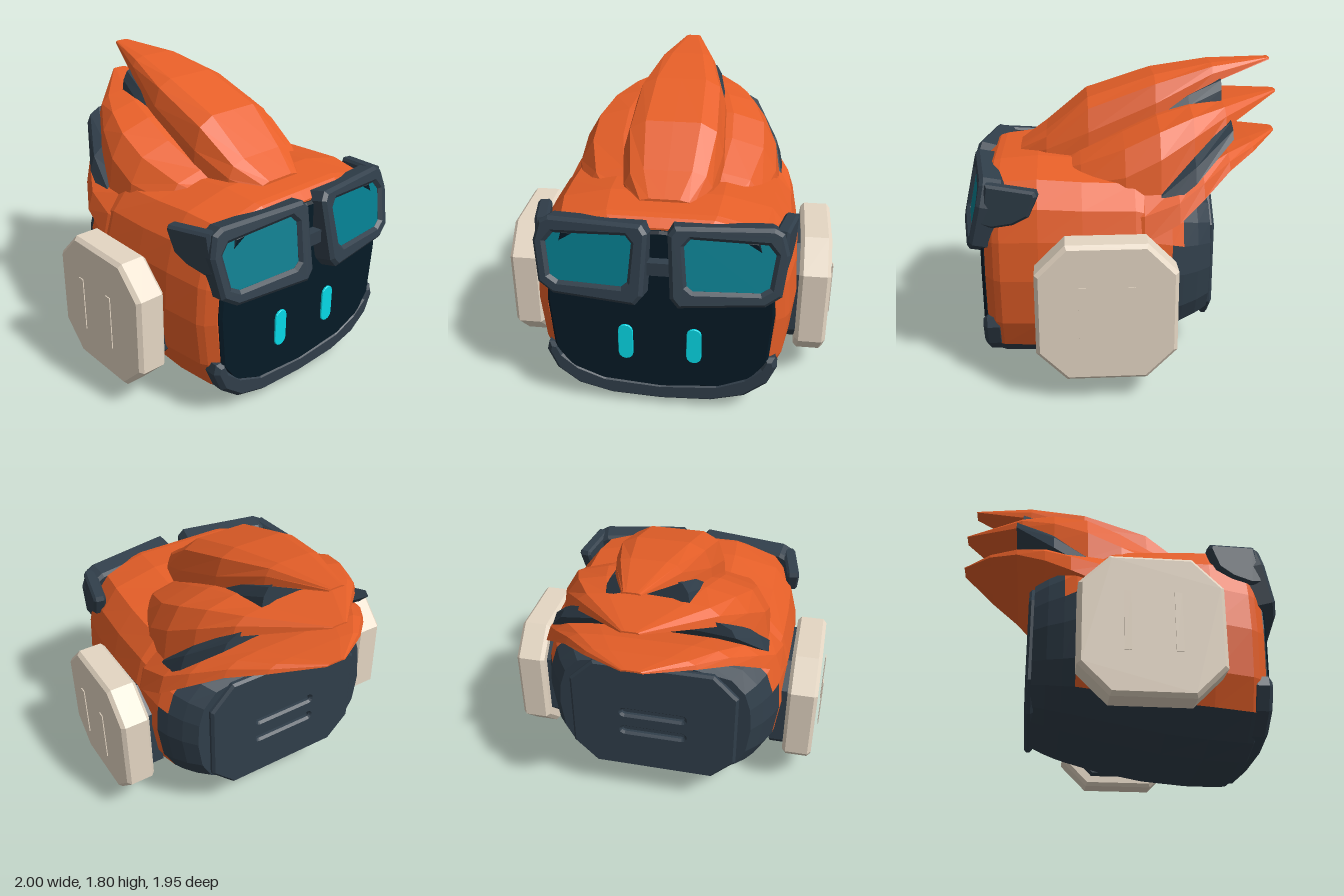
import * as THREE from 'three';

const mat = (name, color) => Object.assign(new THREE.MeshStandardMaterial({ color }), { name });

export function createModel() {
  const root = new THREE.Group();
  root.name = 'helmetHead';
  const M = {
    orange: mat('orange', 0xe65f28),
    slate: mat('slate', 0x303e4a),
    screen: mat('darkScreen', 0x051a26),
    lens: mat('tealLens', 0x047b8c),
    eye: mat('cyanEye', 0x05dcea),
    pad: mat('beigePad', 0xe4d6c3),
  };

  const add = (name, geo, material, parent = root) => {
    const m = new THREE.Mesh(geo, material);
    m.name = name;
    parent.add(m);
    return m;
  };

  // Faceted loft: sections [z, halfWidth, top, bottom] from front to back,
  // half = unit profile from bottom centre to top centre. paint picks a colour per face.
  function loft(name, sections, half, paint) {
    const mirrored = half.slice(1, -1).reverse().map(([x, y]) => [-x, y]);
    const profile = [...half, ...mirrored];
    const n = profile.length;
    const rings = sections.map(([z, w, top, bottom]) =>
      profile.map(([x, y]) => new THREE.Vector3(x * w, bottom + y * (top - bottom), z)));
    const faces = {};
    const centre = (pts) => pts.reduce((s, p) => s.add(p), new THREE.Vector3()).divideScalar(pts.length);
    const put = (...pts) => {
      const list = (faces[paint(centre(pts))] ??= []);
      for (let k = 1; k < pts.length - 1; k++) list.push(pts[0], pts[k], pts[k + 1]);
    };
    const first = rings[0], last = rings[rings.length - 1];
    for (let j = 0; j < n; j++) {
      const k = (j + 1) % n;
      for (let i = 0; i < rings.length - 1; i++)
        put(rings[i][j], rings[i + 1][j], rings[i + 1][k], rings[i][k]);
      put(centre(first), first[j], first[k]);
      put(centre(last), last[k], last[j]);
    }
    const g = new THREE.Group();
    g.name = name;
    for (const key in faces) {
      const geo = new THREE.BufferGeometry().setFromPoints(faces[key]);
      geo.computeVertexNormals();
      add(`${name} ${key}`, geo, M[key], g);
    }
    root.add(g);
  }

  // Outlines are always wound counter-clockwise so bevels go the right way
  const toShape = (pts) => {
    const v = pts.map(([x, y]) => new THREE.Vector2(x, y));
    return new THREE.Shape(THREE.ShapeUtils.isClockWise(v) ? v.reverse() : v);
  };
  // Extruded plate, centred on z = 0; the bevel stays inside the outline and the depth
  function plate(pts, depth, bevel = 0, holes = []) {
    const shape = toShape(pts);
    holes.forEach((h) => shape.holes.push(toShape(h)));
    const geo = new THREE.ExtrudeGeometry(shape, {
      depth: depth - 2 * bevel, bevelEnabled: bevel > 0, bevelSegments: 1,
      bevelSize: bevel, bevelThickness: bevel, bevelOffset: -bevel,
    });
    return geo.translate(0, 0, bevel - depth / 2);
  }
  const octagon = (w, h, c) => [
    [-w + c, -h], [w - c, -h], [w, -h + c], [w, h - c],
    [w - c, h], [-w + c, h], [-w, h - c], [-w, -h + c]];
  // Upright rounded bar outline of half width r and half height h
  const capsule = (r, h) => Array.from({ length: 14 }, (_, i) => {
    const a = ((i % 7) / 6 + (i < 7 ? 0 : 1)) * Math.PI;
    return [r * Math.cos(a), r * Math.sin(a) + (i < 7 ? h - r : r - h)];
  });
  const mirrorPts = (half) => [...half, ...half.slice().reverse().filter(([x]) => x > 0).map(([x, y]) => [-x, y])];

  // Head shell: orange above, slate jaw and back
  const headProfile = [[0, 0], [0.38, 0.015], [0.64, 0.06], [0.86, 0.16], [0.96, 0.3], [1, 0.52],
    [0.98, 0.7], [0.92, 0.84], [0.78, 0.95], [0.42, 1], [0, 1]];
  loft('headShell', [
    [0.81, 0.66, 1.21, 0.07], [0.76, 0.71, 1.25, 0.005], [0.72, 0.735, 1.26, 0],
    [0.5, 0.775, 1.28, 0.005], [0.25, 0.785, 1.26, 0.03], [-0.05, 0.78, 1.24, 0.09],
    [-0.26, 0.745, 1.15, 0.15], [-0.33, 0.715, 1.11, 0.17], [-0.42, 0.665, 1.08, 0.2], [-0.5, 0.6, 1.05, 0.23],
  ], headProfile, (c) =>
    (c.z < -0.33 || (c.z < -0.26 && c.y < 0.9) || c.y < 0.27 ? 'slate' : 'orange'));

  // Back plate with two vent slots
  const slot = (y) => capsule(0.02, 0.2).map(([a, b]) => [b, a + y]);
  add('backPlate', plate(octagon(0.52, 0.4, 0.15), 0.05, 0.015, [slot(0.04), slot(-0.1)]), M.slate)
    .position.set(0, 0.64, -0.508);

  // Face screen, chin lip and eyes
  add('faceScreen', plate(mirrorPts([[0, 0.13], [0.35, 0.16], [0.54, 0.24], [0.63, 0.37], [0.655, 0.7],
    [0.63, 1.0], [0.55, 1.17], [0, 1.2]]), 0.06, 0.015), M.screen).position.z = 0.802;
  const lipOuter = [[0, 0.035], [0.3, 0.05], [0.5, 0.105], [0.63, 0.21], [0.685, 0.34], [0.67, 0.4]];
  const lipInner = [[0.61, 0.4], [0.58, 0.33], [0.49, 0.25], [0.33, 0.185], [0, 0.16]];
  add('chinLip', plate(mirrorPts([...lipOuter, ...lipInner]), 0.12, 0.025), M.slate).position.z = 0.777;
  for (const s of [1, -1])
    add('eye', plate(capsule(0.044, 0.12), 0.014, 0.003), M.eye).position.set(s * 0.2, 0.465, 0.847);

  // Swept-back crest: three stacked blades with slate fins in the gaps
  const bladeProfile = [[0, 0.25], [0.6, 0.2], [1, 0], [0.95, 0.5], [0.82, 0.86], [0.52, 1], [0, 1]];
  const orange = () => 'orange', slate = () => 'slate';
  loft('upperBlade', [[0.61, 0.17, 1.285, 1.2], [0.45, 0.27, 1.39, 1.2], [0.2, 0.315, 1.59, 1.22],
    [-0.2, 0.295, 1.72, 1.42], [-0.55, 0.19, 1.78, 1.67], [-0.92, 0.05, 1.8, 1.788]], bladeProfile, orange);
  loft('middleBlade', [[0.39, 0.46, 1.22, 1.08], [0.25, 0.57, 1.3, 1.02], [0, 0.65, 1.42, 1.02],
    [-0.2, 0.64, 1.51, 1.12], [-0.4, 0.555, 1.56, 1.28], [-0.6, 0.42, 1.575, 1.45],
    [-0.97, 0.05, 1.6, 1.588]], bladeProfile, orange);
  loft('lowerBlade', [[0.1, 0.72, 1.18, 0.8], [-0.1, 0.765, 1.17, 0.88], [-0.3, 0.735, 1.2, 0.98],
    [-0.45, 0.64, 1.26, 1.09], [-0.62, 0.49, 1.31, 1.21], [-0.79, 0.32, 1.335, 1.28],
    [-0.97, 0.06, 1.355, 1.342]], bladeProfile, orange);
  loft('upperFin', [[-0.18, 0.305, 1.53, 1.42], [-0.4, 0.28, 1.63, 1.47], [-0.6, 0.235, 1.71, 1.56]], bladeProfile, slate);
  loft('lowerFin', [[-0.2, 0.685, 1.2, 1.03], [-0.4, 0.64, 1.36, 1.18], [-0.63, 0.495, 1.5, 1.4]], bladeProfile, slate);

  // Goggles, pads and trim on both sides
  const rim = [[0.045, 1.2], [0.08, 1.25], [0.62, 1.25], [0.675, 1.22], [0.71, 1.1], [0.68, 0.86],
    [0.59, 0.8], [0.11, 0.785], [0.065, 0.84]];
  const glass = [[0.135, 1.14], [0.17, 1.18], [0.59, 1.155], [0.635, 1.1], [0.61, 0.91],
    [0.56, 0.88], [0.19, 0.885], [0.155, 0.915]];
  const arm = [[-0.17, 0.98], [-0.13, 1.22], [0.15, 1.19], [0.16, 1.16], [0.11, 1.04], [0.02, 0.99], [-0.1, 0.965]];
  for (const s of [1, -1]) {
    const local = (pts, k = 1) => pts.map(([x, y]) => [s * (x - 0.37) * k, (y - 1.02) * k]);
    const goggle = new THREE.Group();
    goggle.name = s > 0 ? 'leftGoggle' : 'rightGoggle';
    goggle.position.set(s * 0.37, 1.015, 0.83);
    goggle.rotation.set(-0.22, s * 0.14, 0);
    root.add(goggle);
    add('goggleFrame', plate(local(rim), 0.14, 0.02, [local(glass)]), M.slate, goggle);
    add('goggleLens', plate(local(glass, 1.06), 0.07), M.lens, goggle).position.z = 0.014;

    const templeArm = add('goggleArm', plate(arm, 0.08, 0.015).rotateY(Math.PI / 2), M.slate);
    templeArm.position.set(s * 0.69, 0, 0.65);
    templeArm.rotation.y = s * -0.2;

    // Ear pad on a slate mount, with thin trim bars standing just off its face
    const earPad = new THREE.Group();
    earPad.name = s > 0 ? 'leftEarPad' : 'rightEarPad';
    earPad.position.set(0, 0.55, 0.125);
    root.add(earPad);
    add('padBody', plate(octagon(0.395, 0.405, 0.17), 0.185, 0.022).rotateY(Math.PI / 2), M.pad, earPad).position.x = s * 0.88;
    add('padMount', plate(octagon(0.33, 0.34, 0.14), 0.1).rotateY(Math.PI / 2), M.slate, earPad).position.x = s * 0.745;
    for (const z of [0.135, -0.135])
      add('padTrim', new THREE.BoxGeometry(0.006, 0.34, 0.04), M.pad, earPad).position.set(s * 0.997, 0.002, z);
  }
  add('goggleBridge', new THREE.BoxGeometry(0.16, 0.08, 0.08), M.slate).position.set(0, 0.995, 0.85);

  return root;
}
